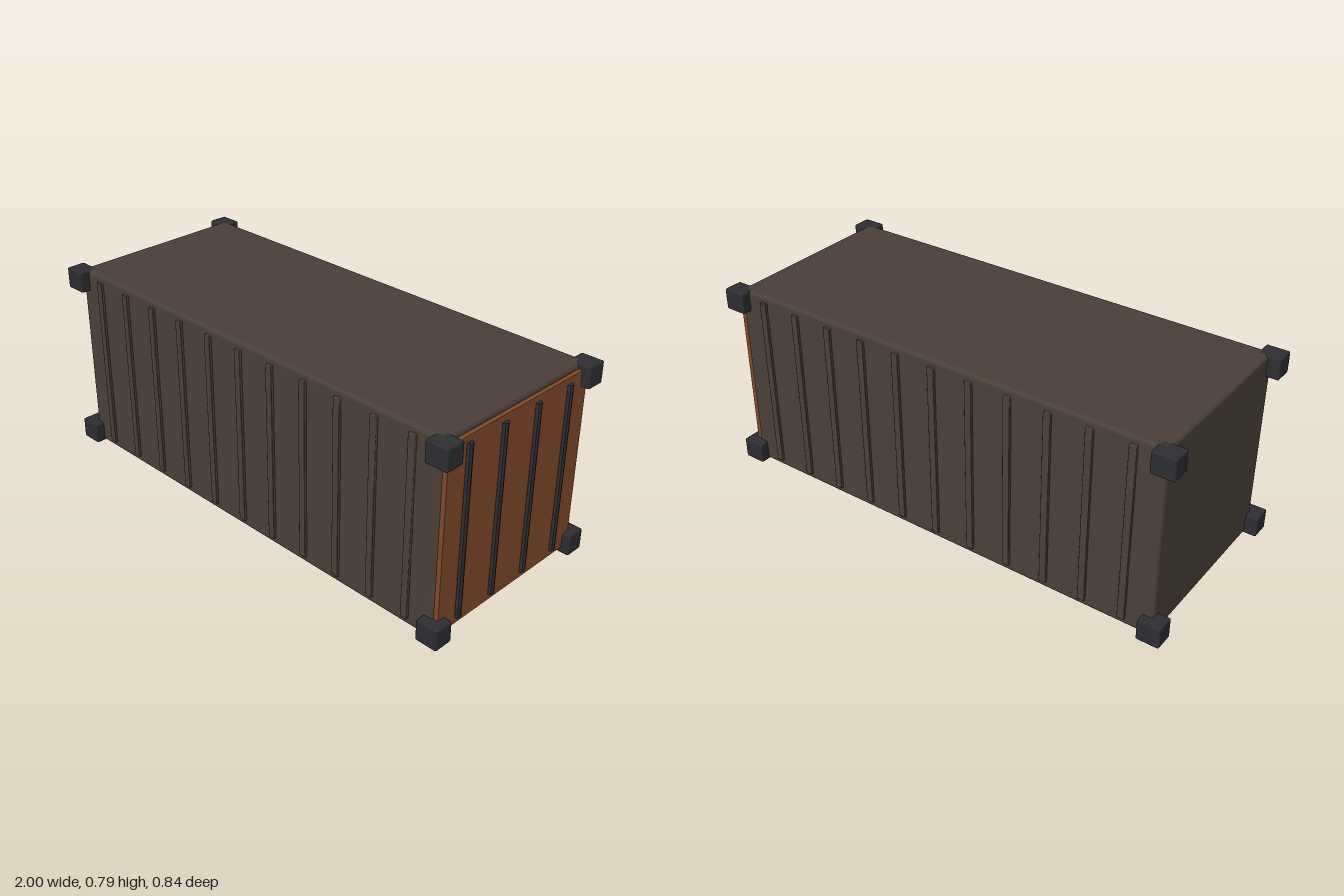
import * as THREE from 'three';
import { RoundedBoxGeometry } from 'three/addons/geometries/RoundedBoxGeometry.js';

const H = 0.793; // overall height

export function createModel() {
  const model = new THREE.Group();
  model.name = 'shippingContainer';

  const paint = new THREE.MeshStandardMaterial({ color: 0x4a4038 });
  const rust = new THREE.MeshStandardMaterial({ color: 0x824a2a });
  const steel = new THREE.MeshStandardMaterial({ color: 0x2e2e33 });
  const steelFlat = new THREE.MeshStandardMaterial({ color: 0x2e2e33, flatShading: true });

  function add(name, geometry, material, x, y, z) {
    const mesh = new THREE.Mesh(geometry, material);
    mesh.name = name;
    mesh.position.set(x, y, z);
    model.add(mesh);
  }

  // Main body with softened edges
  add('body', new RoundedBoxGeometry(1.9, H, 0.764, 2, 0.016), paint, 0, H / 2, 0);

  // Door panel on the right-hand end
  add('doorPanel', new THREE.BoxGeometry(0.03, 0.745, 0.75), rust, 0.951, 0.398, 0);

  // Vertical locking bars on the door
  const bar = new THREE.CylinderGeometry(0.014, 0.014, 0.695, 8);
  for (let i = 0; i < 4; i++) {
    add('lockingBar', bar, steelFlat, 0.967, 0.398, -0.272 + i * 0.1813);
  }

  // Ribs along both long walls
  const rib = new RoundedBoxGeometry(0.03, 0.735, 0.028, 1, 0.003);
  for (const side of [-1, 1]) {
    for (let i = 0; i < 11; i++) {
      add('wallRib', rib, paint, (i - 5) * 0.1655, 0.398, side * 0.379);
    }
  }

  // Corner castings
  const casting = new RoundedBoxGeometry(0.093, 0.087, 0.08, 1, 0.006);
  for (const x of [-0.9535, 0.9535]) {
    for (const y of [0.0435, H - 0.0435]) {
      for (const z of [-0.381, 0.381]) add('cornerCasting', casting, steel, x, y, z);
    }
  }

  return model;
}
